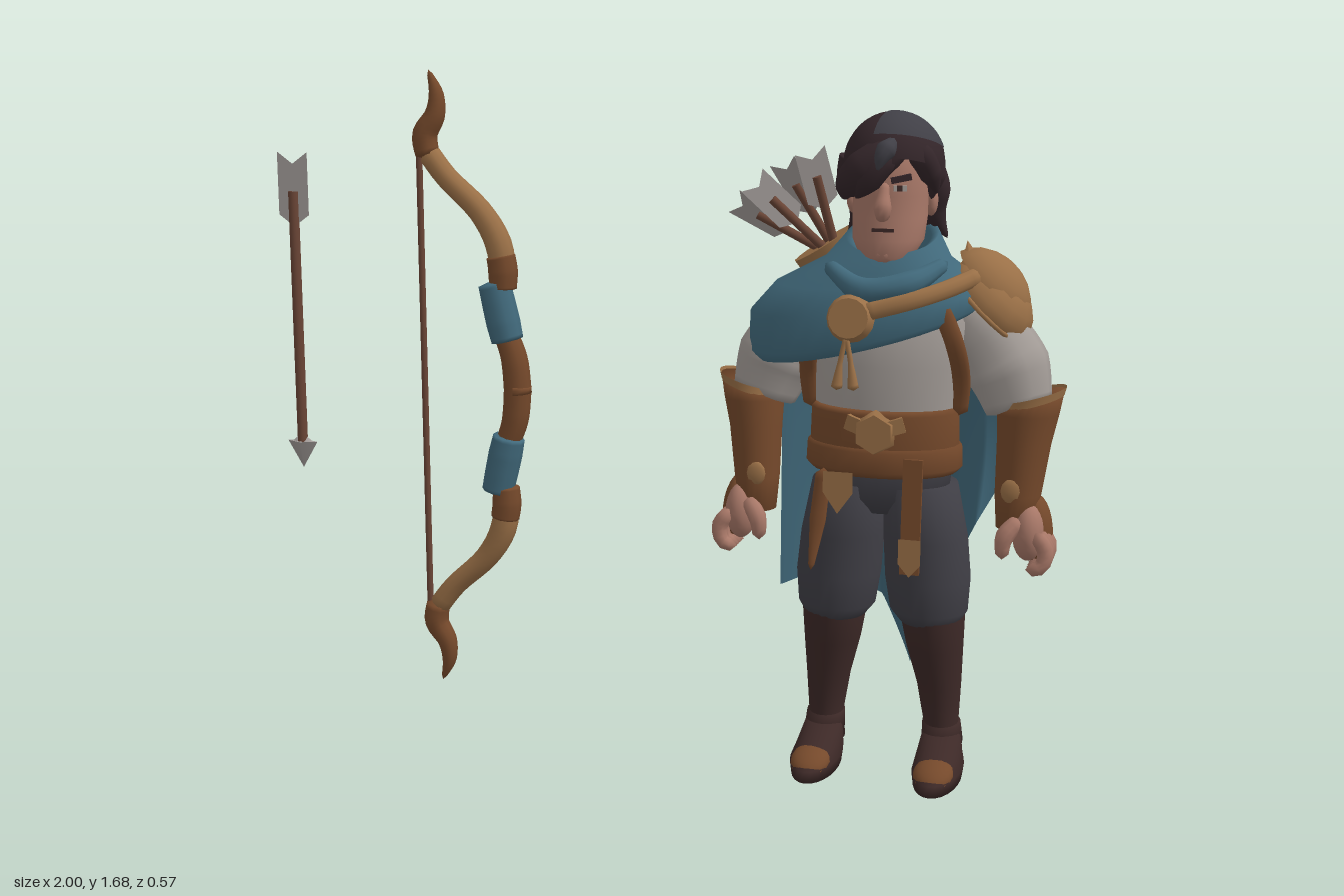
import * as THREE from 'three';
import { mergeVertices } from 'three/addons/utils/BufferGeometryUtils.js';

const V = (p) => new THREE.Vector3(...p);
const paint = (name, color, side = THREE.FrontSide) => {
  const m = new THREE.MeshStandardMaterial({ color, side });
  m.name = name;
  return m;
};

export function createModel() {
  const teal = paint('teal cloth', 0x41697b, THREE.DoubleSide);
  const leather = paint('brown leather', 0x75492b);
  const tan = paint('tan leather', 0x9a7047, THREE.DoubleSide);
  const linen = paint('linen', 0xa39c97);
  const charcoal = paint('charcoal', 0x403f46, THREE.DoubleSide);
  const boot = paint('dark boot leather', 0x3d2927);
  const hair = paint('dark hair', 0x34262a, THREE.DoubleSide);
  const skin = paint('skin', 0xa87868);
  const steel = paint('grey feather', 0xa29c99, THREE.DoubleSide);
  const shaftWood = paint('shaft wood', 0x6a4536);

  const model = new THREE.Group();
  const hero = new THREE.Group();
  hero.name = 'archer';
  hero.position.x = 0.588;
  model.add(hero);

  const add = (name, geo, mat, pos = [0, 0, 0], rot = [0, 0, 0], scale = [1, 1, 1], parent = hero) => {
    const m = new THREE.Mesh(geo, mat);
    m.name = name;
    m.position.set(...pos);
    m.rotation.set(...rot);
    m.scale.set(...scale);
    parent.add(m);
    return m;
  };
  const ball = (w = 16, h = 12) => new THREE.SphereGeometry(1, w, h);
  const box = (x, y, z) => new THREE.BoxGeometry(x, y, z);

  // Stacked ellipses from bottom to top: [x, y, z, rx, rz, sideTilt, frontDrop]
  const loft = (name, rings, mat, capped = true, n = 24) => {
    const pos = [], idx = [];
    rings.forEach(([x, y, z, rx, rz, tilt = 0, drop = 0]) => {
      for (let j = 0; j < n; j++) {
        const c = Math.cos(j / n * Math.PI * 2), s = Math.sin(j / n * Math.PI * 2);
        pos.push(x + rx * c, y + tilt * c - drop * s, z + rz * s);
      }
    });
    const last = rings.length - 1, base = rings.length * n;
    for (const r of [rings[0], rings[last]]) pos.push(r[0], r[1], r[2]);
    for (let j = 0; j < n; j++) {
      const k = (j + 1) % n;
      for (let i = 0; i < last; i++) {
        const a = i * n + j, b = i * n + k;
        idx.push(a, a + n, b, b, a + n, b + n);
      }
      if (capped) idx.push(base, j, k, base + 1, last * n + k, last * n + j);
    }
    const g = new THREE.BufferGeometry();
    g.setAttribute('position', new THREE.Float32BufferAttribute(pos, 3));
    g.setIndex(idx);
    g.computeVertexNormals();
    return add(name, g, mat);
  };

  // Tube along a curve with changing radius and closed ends
  const sweep = (name, pts, radii, mat, parent = hero, flatZ = 1, n = 18) => {
    const curve = new THREE.CatmullRomCurve3(pts.map(V));
    let g = new THREE.TubeGeometry(curve, n, 1, 10);
    const p = g.attributes.position, v = new THREE.Vector3();
    for (let i = 0; i <= n; i++) {
      const c = curve.getPointAt(i / n), f = i / n * (radii.length - 1);
      const k = Math.min(Math.floor(f), radii.length - 2);
      const r = i === 0 || i === n ? 0 : THREE.MathUtils.lerp(radii[k], radii[k + 1], f - k);
      for (let j = 0; j <= 10; j++) {
        v.fromBufferAttribute(p, i * 11 + j).sub(c).multiplyScalar(r);
        p.setXYZ(i * 11 + j, c.x + v.x, c.y + v.y, c.z + v.z * flatZ);
      }
    }
    g.deleteAttribute('uv');
    g.deleteAttribute('normal');
    g = mergeVertices(g, 1e-5);
    g.computeVertexNormals();
    return add(name, g, mat, undefined, undefined, undefined, parent);
  };
  const rod = (name, a, b, ra, rb, mat, parent = hero, flatZ = 1) => {
    const d = V(b).sub(V(a));
    const m = add(name, new THREE.CylinderGeometry(rb, ra, d.length(), 16), mat, undefined, undefined, [1, 1, flatZ], parent);
    m.position.copy(V(a)).addScaledVector(d, 0.5);
    m.quaternion.setFromUnitVectors(V([0, 1, 0]), d.normalize());
  };
  const plate = (pts) => new THREE.ShapeGeometry(new THREE.Shape(pts.map((p) => new THREE.Vector2(...p))));
  const feather = plate([[-.042, .19], [-.042, .03], [0, 0], [.042, .03], [.042, .19], [0, .16]]);

  // Torso, pelvis and belts
  loft('shirt', [[0, .8, .1, .16, .11], [0, .92, .105, .168, .115], [0, 1.02, .1, .178, .122],
    [0, 1.12, .095, .19, .122], [0, 1.18, .075, .17, .1], [0, 1.23, .07, .08, .07]], linen);
  loft('hips', [[0, .66, .09, .06, .07], [0, .7, .09, .15, .1], [0, .82, .1, .166, .115]], charcoal);
  loft('wideBelt', [[0, .82, .115, .17, .122], [0, .83, .115, .177, .128], [0, .91, .115, .175, .126], [0, .92, .115, .165, .118]], leather);
  loft('lowBelt', [[0, .765, .115, .172, .125], [0, .78, .115, .186, .137], [0, .825, .115, .184, .135], [0, .84, .115, .17, .122]], leather);
  add('buckle', new THREE.CylinderGeometry(.046, .054, .025, 6), tan, [0, .872, .245], [Math.PI / 2, 0, 0]);
  for (const s of [-1, 1]) add('buckleWing', box(.04, .035, .015), tan, [s * .048, .89, .24], [0, s * .2, s * .3]);
  add('beltStrap', box(.045, .27, .012), leather, [.09, .68, .243], [-.05, 0, 0]);
  add('strapTip', plate([[-.026, .05], [-.026, -.01], [0, -.04], [.026, -.01], [.026, .05]]), tan, [.09, .58, .258]);
  add('beltCharm', plate([[-.035, .05], [-.035, 0], [0, -.05], [.035, 0], [.035, .05]]), tan, [-.08, .73, .262]);
  sweep('sideStrap', [[-.12, .78, .23], [-.13, .66, .24], [-.14, .54, .265]], [.018, .02, .006], leather, hero, .5);

  for (const s of [-1, 1]) {
    // Legs
    loft('trouserLeg', [[s * .115, .39, .085, .072, .08], [s * .112, .42, .085, .093, .1], [s * .108, .5, .09, .102, .102],
      [s * .1, .6, .09, .1, .104], [s * .085, .73, .095, .088, .108]], charcoal);
    loft('bootShaft', [[s * .145, .05, .04, .048, .058], [s * .143, .12, .042, .042, .056], [s * .137, .22, .05, .053, .067],
      [s * .126, .32, .064, .068, .084], [s * .12, .4, .074, .077, .096], [s * .12, .425, .076, .07, .088]], boot);
    loft('ankleFold', [[s * .147, .07, .045, .05, .062, 0, .02], [s * .144, .12, .042, .046, .06]], boot);
    loft('foot', [[s * .15, 0, .115, .056, .135], [s * .15, .03, .115, .06, .138], [s * .148, .055, .09, .054, .11],
      [s * .146, .1, .042, .045, .06]], boot);
    add('toeCap', ball(), leather, [s * .15, .036, .185], [.25, 0, 0], [.048, .029, .062]);
    // Arms
    sweep('sleeve', [[s * .12, 1.16, .06], [s * .2, 1.11, .05], [s * .268, 1.02, .05], [s * .312, .9, .065]], [.06, .088, .1, .074], linen);
    loft('bracer', [[s * .312, .64, .1, .046, .052], [s * .314, .72, .095, .054, .062], [s * .322, .84, .08, .063, .07],
      [s * .328, .91, .075, .072, .08], [s * .335, .945, .07, .075, .08, s * .022], [s * .325, .925, .07, .05, .06]], leather);
    loft('bracerTrim', [[s * .333, .932, .071, .076, .081, s * .022], [s * .337, .952, .07, .077, .082, s * .022]], tan, false);
    add('bracerStud', ball(8, 6), tan, [s * .305, .735, .15], undefined, [.025, .03, .01]);
    add('gauntlet', ball(), leather, [s * .362, .635, .092], [0, 0, s * .1], [.036, .085, .054]);
    add('palm', ball(), skin, [s * .345, .635, .125], undefined, [.038, .068, .048]);
    for (let i = 0; i < 4; i++) {
      const z = .095 + i * .022;
      sweep('finger', [[s * .362, .645, z], [s * .39, .6, z], [s * .378, .562, z + .005], [s * .345, .556, z + .005]], [.016, .02, .018, .015], skin, hero, 1, 8);
    }
    sweep('thumb', [[s * .33, .67, .14], [s * .295, .63, .165], [s * .29, .575, .165]], [.02, .022, .014], skin, hero, 1, 8);
    sweep('chestStrap', [[s * .13, 1.17, .18], [s * .168, 1.08, .182], [s * .18, .99, .14], [s * .172, .9, .12]], [.022, .022, .022, .022], leather, hero, .6);
    // Face pairs
    add('ear', ball(10, 8), skin, [s * .09, 1.395, .085], [0, s * .3, 0], [.016, .036, .024]);
    add('eye', box(.03, .012, .008), linen, [s * .036, 1.43, .192], [0, s * .3, 0]);
    add('pupil', box(.012, .013, .008), boot, [s * .035, 1.43, .194], [0, s * .3, 0]);
    add('brow', box(.046, .014, .016), hair, [s * .038, 1.452, .193], [0, s * .3, s * .2]);
  }

  // Head
  loft('neck', [[0, 1.15, .07, .06, .06], [0, 1.34, .085, .056, .06]], skin);
  loft('head', [[0, 1.252, .155, .036, .036], [0, 1.272, .148, .062, .056], [0, 1.31, .128, .083, .078], [0, 1.36, .115, .087, .084],
    [0, 1.41, .11, .087, .087], [0, 1.46, .105, .09, .093], [0, 1.52, .1, .08, .085], [0, 1.56, .1, .04, .04]], skin);
  sweep('nose', [[0, 1.445, .192], [0, 1.41, .203], [0, 1.375, .21], [0, 1.36, .198]], [.01, .014, .021, .014], skin, hero, 1, 10);
  add('mouth', box(.05, .008, .008), boot, [0, 1.335, .199]);
  add('chin', ball(10, 8), skin, [0, 1.278, .183], undefined, [.036, .024, .022]);

  // Hair: cap, grey sheen, fringe, side locks and mane
  const cap = (name, r, mat, p0, pl, t0, tl) => add(name, new THREE.SphereGeometry(1, 24, 12, p0, pl, t0, tl), mat,
    [.006, 1.48, .108], [-.3, 0, 0], [.116 * r, .118 * r, .132 * r]);
  cap('hairCap', 1, hair, 0, Math.PI * 2, 0, 1.72);
  cap('frontSheen', 1.012, charcoal, 1.3, 1.9, .1, 1.15);
  cap('sideSheen', 1.012, charcoal, 3.5, 1.5, .55, .4);
  cap('backSheen', 1.012, charcoal, 5.2, .9, .5, .55);
  add('napeHair', ball(), hair, [0, 1.4, .035], [.15, 0, 0], [.084, .12, .05]);
  sweep('fringe', [[.05, 1.535, .16], [0, 1.505, .2], [-.055, 1.46, .2], [-.09, 1.43, .165], [-.105, 1.395, .13]], [.02, .042, .05, .036, .004], hair);
  sweep('fringeLock', [[.02, 1.53, .18], [-.01, 1.485, .218], [-.04, 1.44, .218], [-.065, 1.405, .195]], [.02, .036, .032, .003], hair);
  sweep('fringeSheen', [[.03, 1.545, .19], [.005, 1.51, .238], [-.01, 1.47, .246]], [.008, .024, .006], charcoal);
  sweep('browLock', [[.045, 1.54, .17], [.08, 1.5, .17], [.1, 1.455, .15], [.11, 1.415, .13]], [.02, .03, .026, .003], hair);
  for (const s of [-1, 1]) {
    sweep('sideburn', [[s * .09, 1.5, .12], [s * .1, 1.45, .115], [s * .094, 1.4, .112]], [.03, .026, .003], hair);
    sweep('neckLock', [[s * .08, 1.47, .04], [s * .095, 1.42, .035], [s * .09, 1.36, .02], [s * .118, 1.3, .01]], [.03, .03, .024, .003], hair);
  }
  for (let i = -2; i <= 2; i++) {
    const x = i * .034, low = 1.225 + (i * i % 3) * .028;
    sweep('maneLock', [[x, 1.5, .02], [x * 1.1, 1.41, .01], [x * .95, 1.32, -.025], [x * 1.3, low, -.1]], [.03, .036, .036, .003], hair, hero, .8);
  }

  // Cowl over the right shoulder
  loft('cowl', [[-.055, 1.085, .07, .265, .165, .07, .03], [-.058, 1.103, .07, .281, .184, .065, .03], [-.058, 1.16, .07, .28, .18, .035, .015],
    [-.045, 1.21, .07, .232, .157, .015, .01], [-.01, 1.255, .075, .15, .13, 0, .02], [0, 1.315, .08, .108, .115, 0, .035],
    [0, 1.305, .08, .09, .098, 0, .035], [0, 1.24, .08, .075, .085, 0, .02]], teal, false, 32);
  sweep('scarfFold', [[-.14, 1.25, .16], [-.04, 1.2, .225], [.06, 1.215, .215], [.14, 1.26, .13]], [.015, .03, .03, .015], teal);

  // Cape draped from shoulders to a jagged hem
  const top = new THREE.CatmullRomCurve3([[-.27, 1.14, .03], [-.14, 1.2, -.06], [0, 1.22, -.075], [.12, 1.21, -.06], [.22, 1.16, .01]].map(V));
  const hem = new THREE.CatmullRomCurve3([[-.3, .385, -.1], [-.19, .41, -.265], [-.07, .33, -.285], [.03, .195, -.155],
    [.12, .43, -.17], [.2, .6, -.06], [.27, .73, -.1]].map(V), false, 'catmullrom', 0);
  const capeGeo = new THREE.PlaneGeometry(1, 1, 36, 16), cp = capeGeo.attributes.position;
  for (let i = 0; i < cp.count; i++) {
    const u = cp.getX(i) + .5, v = .5 - cp.getY(i);
    const q = top.getPoint(u).lerp(hem.getPoint(u), v);
    q.x += .04 * u * u * Math.sin(v * Math.PI);
    q.z += .008 * Math.sin(u * 26) * v - .02 * Math.sin(v * Math.PI) * Math.sin(u * Math.PI);
    cp.setXYZ(i, q.x, q.y, q.z);
  }
  capeGeo.computeVertexNormals();
  add('cape', capeGeo, teal);

  // Brooch, tassels and shoulder guard
  add('brooch', new THREE.CylinderGeometry(.046, .056, .03, 16), tan, [-.06, 1.14, .265], [Math.PI / 2 - .15, 0, 0]);
  for (const s of [-1, 1]) sweep('tassel', [[-.065, 1.1, .27], [-.065 + s * .012, 1.04, .273], [-.065 + s * .02, .975, .274]], [.006, .006, .014], tan);
  sweep('guardStrap', [[-.04, 1.15, .26], [.07, 1.18, .235], [.15, 1.205, .18], [.21, 1.23, .11]], [.021, .021, .021, .021], tan, hero, .6);
  const guard = (name, pos, scale, arc) => add(name, new THREE.SphereGeometry(1, 12, 5, 0, Math.PI * 2, 0, arc), tan, pos, [0, 0, -.78], scale);
  guard('lowerGuard', [.225, 1.155, .043], [.118, .085, .113], 1.65);
  guard('upperGuard', [.222, 1.187, .043], [.112, .084, .095], 1.4);
  add('guardRim', new THREE.TorusGeometry(1, .06, 6, 20), tan, [.22, 1.15, .043], [Math.PI / 2, -.78, 0], [.115, .11, .1]);
  add('guardCrest', new THREE.ConeGeometry(.04, .08, 5), tan, [.18, 1.262, .045], [0, 0, .25], [1, 1, 1.6]);

  // Flattened quiver with arrows
  rod('quiver', [.05, .9, -.135], [-.185, 1.255, -.08], .08, .084, leather, hero, .62);
  rod('quiverRim', [-.176, 1.242, -.082], [-.194, 1.27, -.077], .088, .09, tan, hero, .64);
  add('quiverPatch', ball(8, 6), tan, [.02, .92, -.178], [0, 0, .6], [.035, .03, .012]);
  [1.06, .78, .48, .2].forEach((angle, i) => {
    const a = new THREE.Group();
    a.name = 'quiverArrow';
    a.position.set(-.225 + i * .018, 1.265 + i * .01, -.07 + (i % 2) * .025);
    a.rotation.set(.3, 0, angle);
    hero.add(a);
    rod('quiverShaft', [0, -.03, 0], [0, .15, 0], .011, .011, shaftWood, a);
    add('quiverFeather', feather, steel, [0, .065, 0], [0, i % 2 ? .5 : -.2, 0], [.9, .8, 1], a);
  });

  // Bow: one half described, the other mirrored about its middle
  const bow = new THREE.Group();
  bow.name = 'bow';
  bow.position.z = .085;
  model.add(bow);
  for (const s of [-1, 1]) {
    const at = (pts) => pts.map(([x, y]) => [x, .89 + s * (y - .89), 0]);
    sweep('bowTip', at([[-.575, 1.68], [-.555, 1.62], [-.56, 1.57], [-.588, 1.52], [-.58, 1.46]]), [.004, .018, .026, .032, .03], leather, bow);
    sweep('bowLimb', at([[-.59, 1.49], [-.535, 1.42], [-.44, 1.33], [-.395, 1.25], [-.385, 1.14]]), [.028, .028, .03, .034, .03], tan, bow);
    sweep('bowBand', at([[-.392, 1.23], [-.386, 1.19], [-.387, 1.14]]), [.036, .037, .034], leather, bow);
    sweep('bowWrap', at([[-.412, 1.165], [-.397, 1.1], [-.375, 1.005]]), [.04, .042, .043, .04], teal, bow);
    sweep('bowGrip', at([[-.385, 1.04], [-.36, .97], [-.35, .87]]), [.03, .034, .035], leather, bow);
  }
  rod('bowString', [-.605, .31, 0], [-.605, 1.48, 0], .008, .008, shaftWood, bow);

  // Loose arrow pointing down
  const arrow = new THREE.Group();
  arrow.name = 'arrow';
  arrow.position.set(-.958, 0, .085);
  model.add(arrow);
  rod('arrowShaft', [0, .7, 0], [0, 1.37, 0], .013, .013, shaftWood, arrow);
  add('arrowFeather', feather, steel, [0, 1.28, 0], undefined, undefined, arrow);
  add('arrowHead', new THREE.ConeGeometry(.042, .07, 4), steel, [0, .682, 0], [Math.PI, 0, 0], [1, 1, .45], arrow);
  add('arrowBarb', new THREE.ConeGeometry(.03, .025, 4), steel, [0, .728, 0], undefined, [1, 1, .5], arrow);
  return model;
}
